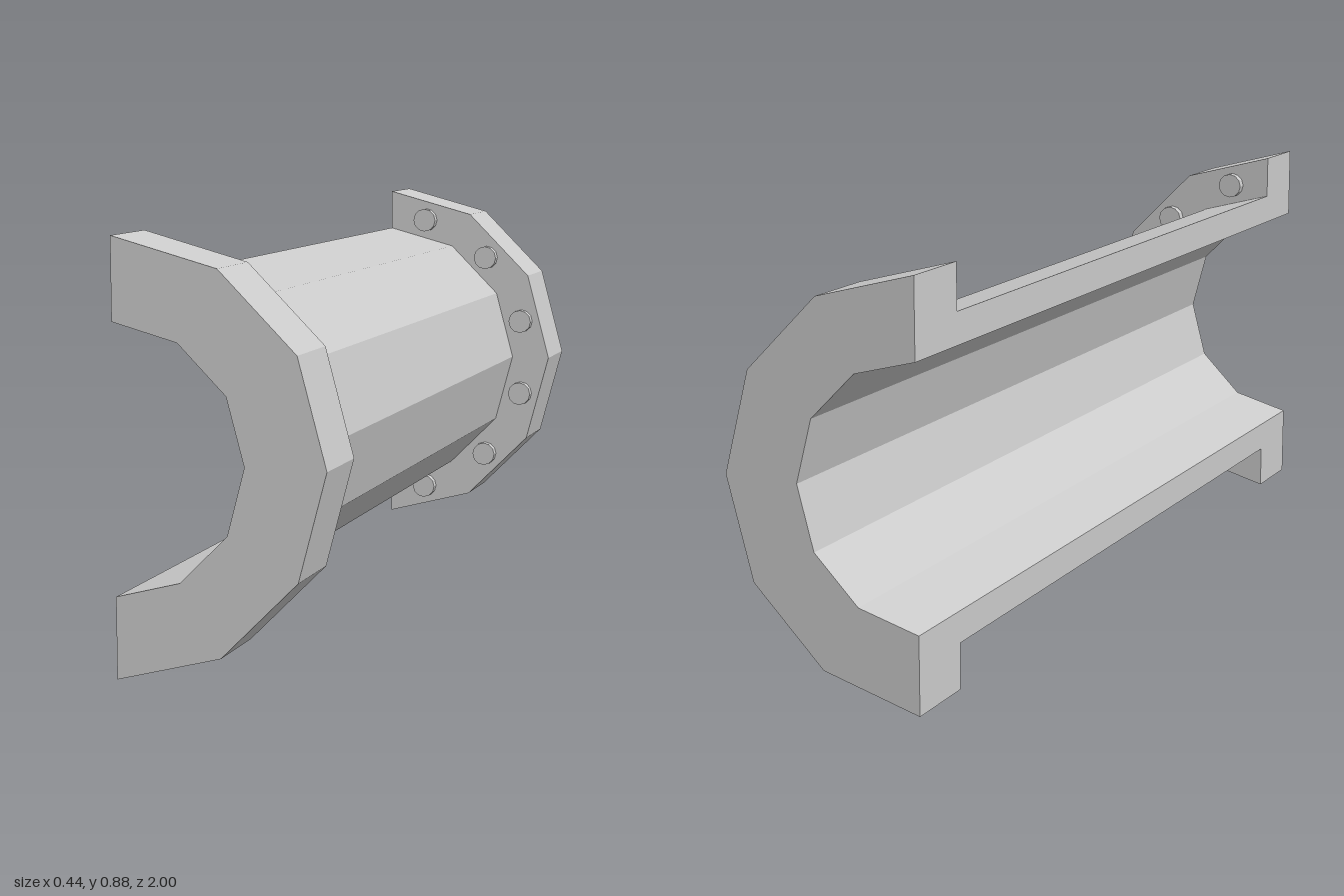
import * as THREE from 'three';

const CX = -0.219, CY = 0.4375;       // pipe axis
const INNER = 0.271, PIPE = 0.339, FLANGE = 0.4375;
const FLANGE_Z = 0.835, SEGMENTS = 6;

const material = new THREE.MeshStandardMaterial({ color: 0xcccccc, flatShading: true });

// Faceted half ring, open towards -x, extruded along z
function halfRing(name, outer, z0, z1) {
  const points = [];
  const arc = (radius, i) => {
    const a = -Math.PI / 2 + (i / SEGMENTS) * Math.PI;
    points.push(new THREE.Vector2(radius * Math.cos(a), radius * Math.sin(a)));
  };
  for (let i = 0; i <= SEGMENTS; i++) arc(outer, i);
  for (let i = SEGMENTS; i >= 0; i--) arc(INNER, i);
  const geometry = new THREE.ExtrudeGeometry(new THREE.Shape(points), { depth: z1 - z0, bevelEnabled: false });
  const mesh = new THREE.Mesh(geometry, material);
  mesh.name = name;
  mesh.position.set(CX, CY, z0);
  return mesh;
}

// Bolt heads on the inward face of a flange, one per facet
function boltRow(name, side) {
  const row = new THREE.Group();
  row.name = name;
  const depth = 0.03, radius = 0.375;
  const geometry = new THREE.CylinderGeometry(0.03, 0.03, depth, 12).rotateX(Math.PI / 2);
  for (let i = 0; i < SEGMENTS; i++) {
    const a = -Math.PI / 2 + ((i + 0.5) / SEGMENTS) * Math.PI;
    const bolt = new THREE.Mesh(geometry, material);
    bolt.name = 'bolt';
    bolt.position.set(CX + radius * Math.cos(a), CY + radius * Math.sin(a), side * (FLANGE_Z - 0.02 + depth / 2));
    row.add(bolt);
  }
  return row;
}

export function createModel() {
  const model = new THREE.Group();
  model.name = 'halfPipe';
  model.add(
    halfRing('pipeWall', PIPE, -FLANGE_Z, FLANGE_Z),
    halfRing('frontFlange', FLANGE, FLANGE_Z, 1),
    halfRing('backFlange', FLANGE, -1, -FLANGE_Z),
    boltRow('frontBolts', 1),
    boltRow('backBolts', -1),
  );
  return model;
}
